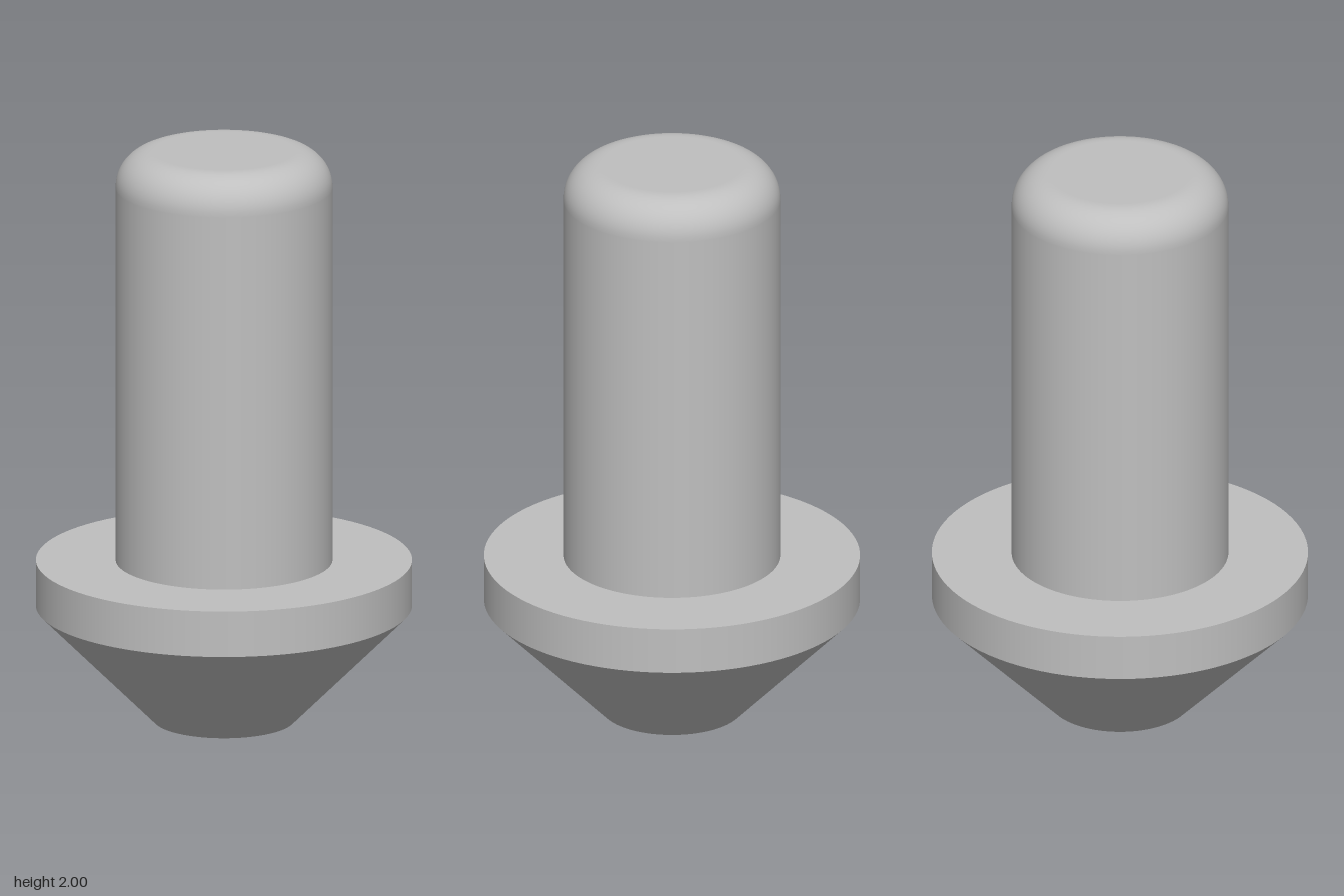
import * as THREE from 'three';

const SEGMENTS = 96;

export function createModel() {
  const model = new THREE.Group();
  model.name = 'locatingPin';
  const steel = new THREE.MeshStandardMaterial({ color: 0xbfbfbf });
  steel.name = 'steel grey';

  const add = (name, geometry, y = 0) => {
    const mesh = new THREE.Mesh(geometry, steel);
    mesh.name = name;
    mesh.position.y = y;
    model.add(mesh);
    return mesh;
  };

  const shaftRadius = 0.367, flangeRadius = 0.637, tipRadius = 0.24;
  const tipHeight = 0.4, flangeTop = 0.56, top = 2, fillet = 0.125;

  // Tapered tip, closed underneath
  add('taperedTip', new THREE.CylinderGeometry(flangeRadius, tipRadius, tipHeight, SEGMENTS, 1, true), tipHeight / 2);
  add('tipEnd', new THREE.CircleGeometry(tipRadius, SEGMENTS)).rotation.x = Math.PI / 2;

  // Flange rim and the flat shoulder around the shaft
  add('flangeRim', new THREE.CylinderGeometry(flangeRadius, flangeRadius, flangeTop - tipHeight, SEGMENTS, 1, true),
    (flangeTop + tipHeight) / 2);
  add('flangeShoulder', new THREE.RingGeometry(shaftRadius, flangeRadius, SEGMENTS), flangeTop).rotation.x = -Math.PI / 2;

  // Shaft with a rounded top edge; extra points keep the straight and flat parts crisp
  const profile = [
    new THREE.Vector2(shaftRadius, flangeTop),
    new THREE.Vector2(shaftRadius, top - fillet - 0.005),
  ];
  const steps = 16;
  for (let i = 0; i <= steps; i++) {
    const a = (i / steps) * Math.PI / 2;
    profile.push(new THREE.Vector2(
      shaftRadius - fillet + fillet * Math.cos(a),
      top - fillet + fillet * Math.sin(a)));
  }
  profile.push(new THREE.Vector2(shaftRadius - fillet - 0.005, top), new THREE.Vector2(0, top));
  add('roundedShaft', new THREE.LatheGeometry(profile, SEGMENTS));

  return model;
}
